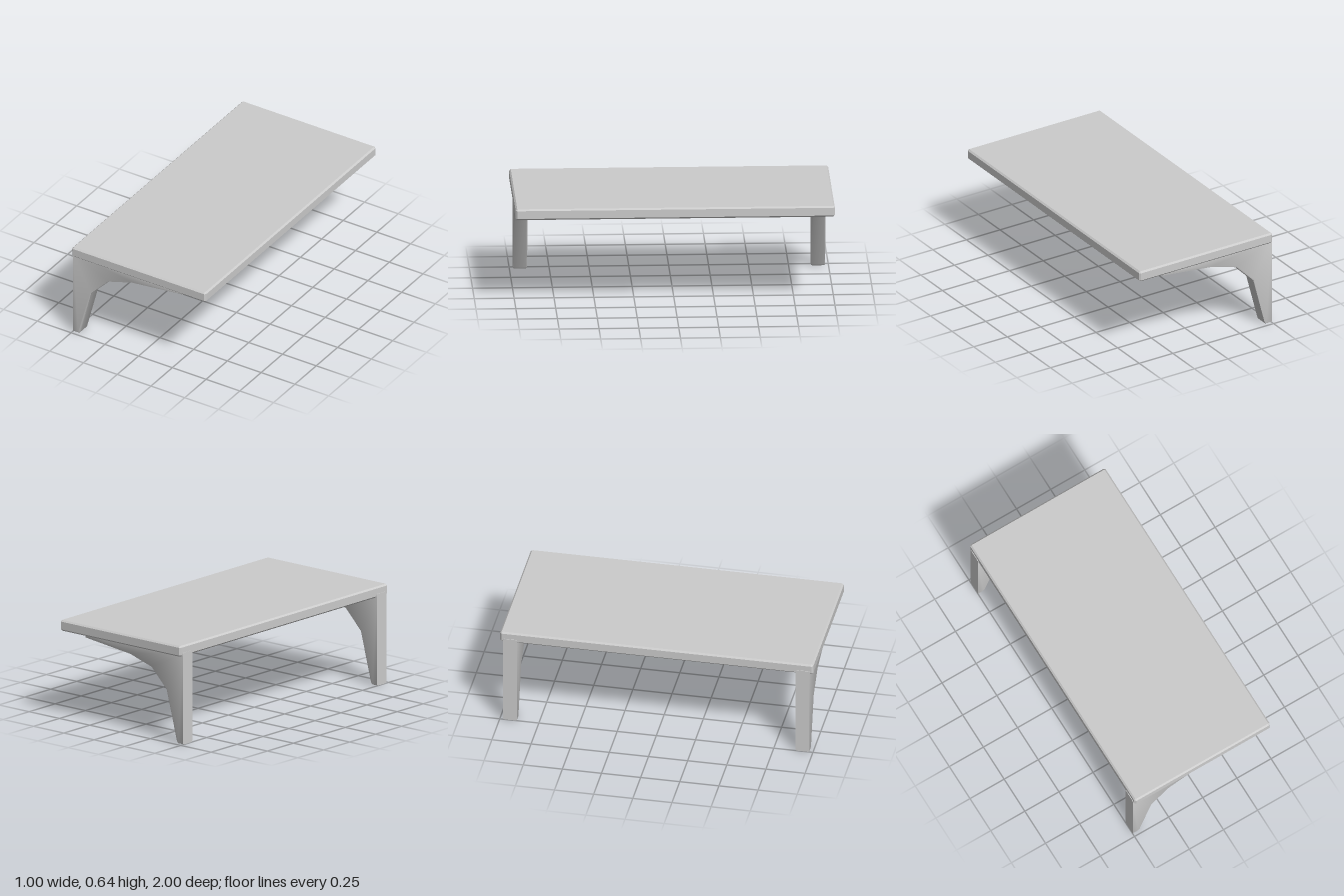
import * as THREE from 'three';
import { toCreasedNormals } from 'three/addons/utils/BufferGeometryUtils.js';

const material = new THREE.MeshStandardMaterial({ color: 0xcccccc });

// Bevelled extrusion of an outline, centred on z, keeping the outline's outer size
function bevelled(points, depth, bevel, segments) {
  const shape = new THREE.Shape(points.map(([x, y]) => new THREE.Vector2(x, y)));
  const geometry = new THREE.ExtrudeGeometry(shape, {
    depth: depth - 2 * bevel,
    bevelEnabled: true,
    bevelThickness: bevel,
    bevelSize: bevel,
    bevelOffset: -bevel,
    bevelSegments: segments,
  });
  return geometry.translate(0, 0, bevel - depth / 2);
}

// Flat board with chamfered edges and corners
function makeBoard() {
  const w = 0.496, l = 1, c = 0.01;
  const outline = [
    [w - c, -l], [w, -l + c], [w, l - c], [w - c, l],
    [-w + c, l], [-w, l - c], [-w, -l + c], [-w + c, -l],
  ];
  const geometry = bevelled(outline, 0.07, 0.01, 1).rotateX(-Math.PI / 2);
  const board = new THREE.Mesh(toCreasedNormals(geometry, 0.3), material);
  board.name = 'shelfBoard';
  board.position.y = 0.605;
  return board;
}

// Curved wall bracket: soft free edges, flat back, top sunk into the board
function makeBracketGeometry() {
  const outline = [
    [-0.52, 0], [-0.457, 0], [-0.446, 0.012], [-0.362, 0.332], [-0.238, 0.457],
    [-0.062, 0.51], [0.31, 0.552], [0.31, 0.595], [-0.52, 0.595],
  ];
  const geometry = bevelled(outline, 0.09, 0.01, 2);
  // Cut the back square against the wall plane
  const p = geometry.attributes.position;
  for (let i = 0; i < p.count; i++) p.setX(i, Math.max(p.getX(i), -0.5));
  return toCreasedNormals(geometry, 0.7);
}

export function createModel() {
  const model = new THREE.Group();
  model.name = 'wallShelf';
  model.add(makeBoard());
  const bracketGeometry = makeBracketGeometry();
  for (const side of [1, -1]) {
    const bracket = new THREE.Mesh(bracketGeometry, material);
    bracket.name = side > 0 ? 'frontBracket' : 'backBracket';
    bracket.position.z = side * 0.934;
    model.add(bracket);
  }
  return model;
}
